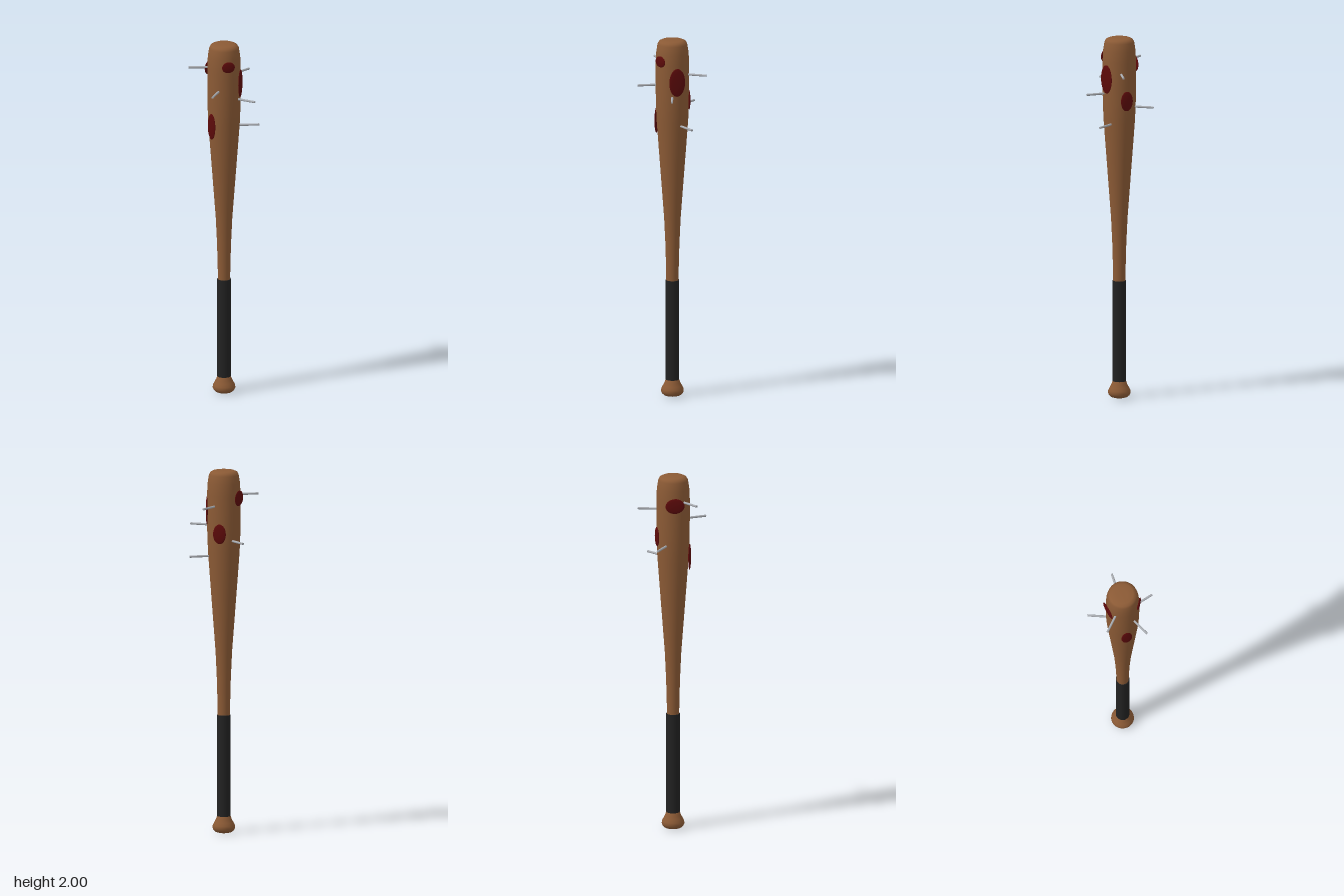
import * as THREE from 'three';

export function createModel() {
  const mat = (name, color) => {
    const m = new THREE.MeshStandardMaterial({ color });
    m.name = name;
    return m;
  };
  const wood = mat('wood', 0x8b5a35);
  const tape = mat('black tape', 0x222222);
  const steel = mat('nail steel', 0xa8abb0);
  const red = mat('dark red', 0x5c0a0a);

  const model = new THREE.Group();
  model.name = 'spikedBat';
  const bat = new THREE.Group();
  bat.name = 'bat';
  bat.position.set(-0.013, 0, -0.003);
  model.add(bat);

  const add = (name, geometry, material) => {
    const mesh = new THREE.Mesh(geometry, material);
    mesh.name = name;
    bat.add(mesh);
    return mesh;
  };
  const lathe = (points) =>
    new THREE.LatheGeometry(points.map(([r, y]) => new THREE.Vector2(r, y)), 40);

  // Tapered barrel with a rounded tip
  add('barrel', lathe([
    [0.033, 0.6], [0.034, 0.7], [0.038, 0.85], [0.045, 1.0], [0.06, 1.2],
    [0.075, 1.4], [0.086, 1.55], [0.09, 1.65], [0.091, 1.75], [0.091, 1.87],
    [0.088, 1.93], [0.081, 1.975], [0.073, 1.99], [0.058, 1.997], [0.03, 2], [0, 2],
  ]), wood);

  // Taped grip
  const grip = add('grip', new THREE.CylinderGeometry(0.037, 0.037, 0.56, 32), tape);
  grip.position.y = 0.37;

  // Flared knob at the base
  add('knob', lathe([
    [0, 0], [0.03, 0.001], [0.046, 0.006], [0.056, 0.015], [0.062, 0.028],
    [0.06, 0.042], [0.052, 0.058], [0.043, 0.075], [0.036, 0.095], [0.03, 0.1],
  ]), wood);

  // Nails point straight out: [direction x, direction z, height]
  const nails = [
    [0.050, -0.184, 1.81], [0.158, -0.109, 1.53], [0.191, -0.001, 1.695],
    [0.035, 0.187, 1.75], [-0.165, 0.101, 1.865], [-0.156, -0.117, 1.62],
  ];
  const nailGeometry = new THREE.CylinderGeometry(0.0062, 0.0062, 0.122, 12);
  nailGeometry.rotateX(Math.PI / 2);
  for (const [x, z, y] of nails) {
    const nail = add('nail', nailGeometry, steel);
    const angle = Math.atan2(x, z);
    nail.rotation.y = angle;
    nail.position.set(Math.sin(angle) * 0.131, y, Math.cos(angle) * 0.131);
  }

  // Flat oval splatters: [direction x, direction z, height, half width, half height]
  const splatters = [
    [-0.029, 0.087, 1.542, 0.030, 0.073],
    [0.064, 0.064, 1.89, 0.036, 0.031],
    [0.085, -0.027, 1.778, 0.045, 0.078],
    [-0.008, -0.094, 1.66, 0.036, 0.054],
    [-0.092, -0.007, 1.85, 0.052, 0.042],
  ];
  const ovalGeometry = new THREE.SphereGeometry(1, 28, 16);
  for (const [x, z, y, width, height] of splatters) {
    const splatter = add('splatter', ovalGeometry, red);
    const angle = Math.atan2(x, z);
    splatter.rotation.y = angle;
    splatter.scale.set(width, height, 0.007);
    splatter.position.set(Math.sin(angle) * 0.091, y, Math.cos(angle) * 0.091);
  }

  return model;
}
